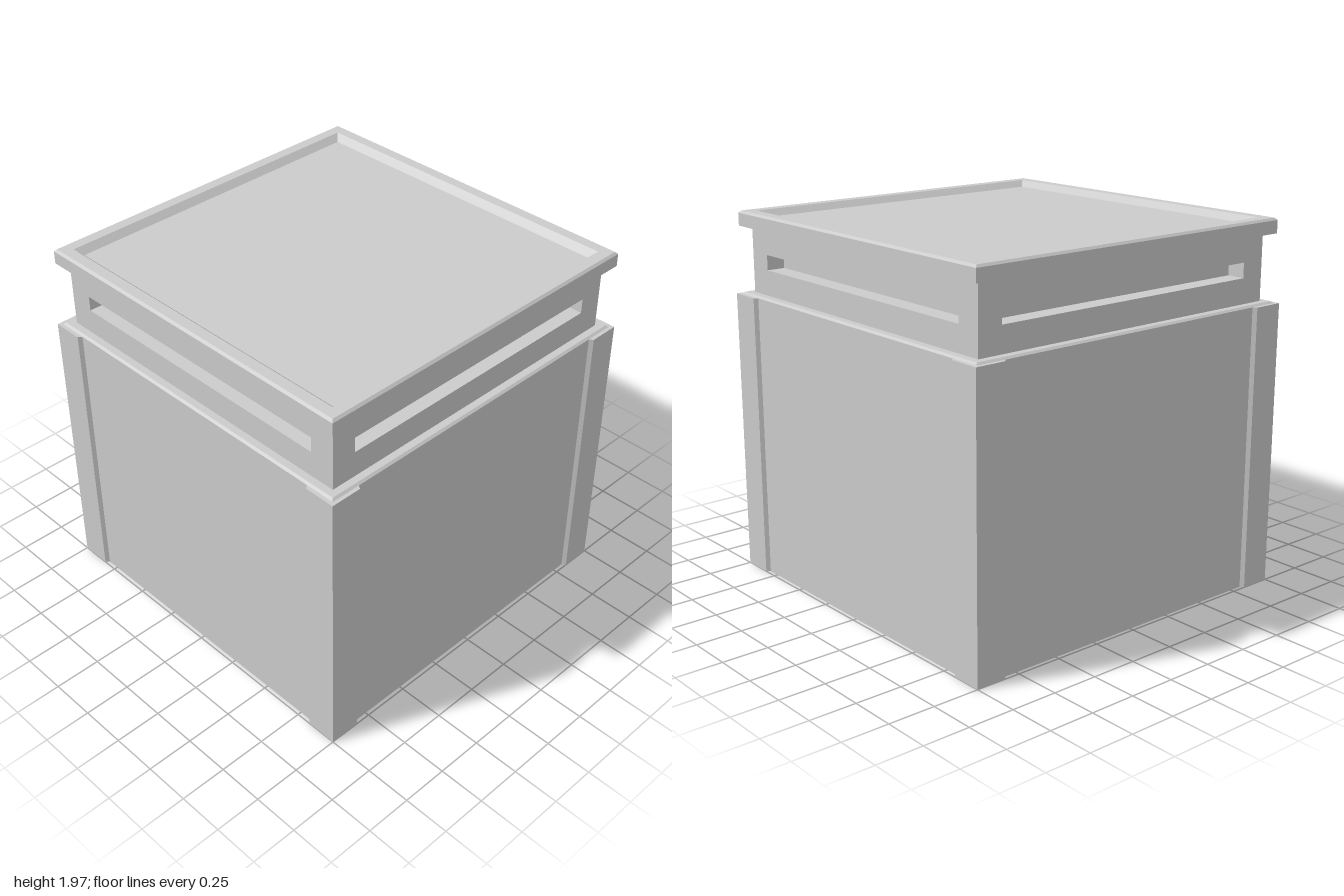
import * as THREE from 'three';

const material = new THREE.MeshStandardMaterial({ color: 0xcccccc, flatShading: true });

function addMesh(parent, name, geometry) {
  const mesh = new THREE.Mesh(geometry, material);
  mesh.name = name;
  parent.add(mesh);
  return mesh;
}

// Square solid swept from a profile of [half width, height] pairs
function squareLathe(profile) {
  const points = profile.map(([half, y]) => new THREE.Vector2(half * Math.SQRT2, y));
  const geometry = new THREE.LatheGeometry(points, 4).rotateY(Math.PI / 4).toNonIndexed();
  geometry.computeVertexNormals();
  return geometry;
}

function polygon(coords) {
  return new THREE.Shape(coords.map(([x, y]) => new THREE.Vector2(x, y)));
}

function extrude(shape, depth) {
  return new THREE.ExtrudeGeometry(shape, { depth, bevelEnabled: false });
}

export function createModel() {
  const model = new THREE.Group();
  model.name = 'box';

  // Main body with a small chamfer round its top edge
  addMesh(model, 'body', squareLathe([
    [0, 0], [0.98, 0], [0.98, 1.525], [0.968, 1.535], [0, 1.535],
  ]));

  // Lid: overhanging slab with a raised rim and a shallow tray
  addMesh(model, 'lid', squareLathe([
    [0, 1.885], [0.98, 1.885], [0.98, 1.953], [0.968, 1.965],
    [0.91, 1.965], [0.875, 1.932], [0, 1.932],
  ]));

  // Neck: solid core behind four slotted panels
  const neckBottom = 1.53, neckTop = 1.89, neck = 0.93, slotDepth = 0.1;
  const core = neck - slotDepth;
  addMesh(model, 'neckCore',
    new THREE.BoxGeometry(2 * core, neckTop - neckBottom, 2 * core)
      .translate(0, (neckTop + neckBottom) / 2, 0));

  const panelShape = polygon([
    [-neck, neckBottom], [core, neckBottom], [core, neckTop], [-neck, neckTop],
  ]);
  panelShape.holes.push(polygon([
    [-0.795, 1.67], [-0.795, 1.75], [0.795, 1.75], [0.795, 1.67],
  ]));
  const panelGeometry = extrude(panelShape, slotDepth).translate(0, 0, core);

  // Angle-shaped corner guard with chamfered edges
  const guardGeometry = extrude(polygon([
    [1, 1], [0.832, 1], [0.818, 0.98], [0.98, 0.98], [0.98, 0.818], [1, 0.832],
  ]), 1.525).rotateX(-Math.PI / 2);

  for (let i = 0; i < 4; i++) {
    const angle = i * Math.PI / 2;
    addMesh(model, 'slottedPanel' + (i + 1), panelGeometry).rotation.y = angle;
    addMesh(model, 'cornerGuard' + (i + 1), guardGeometry).rotation.y = angle;
  }
  return model;
}
